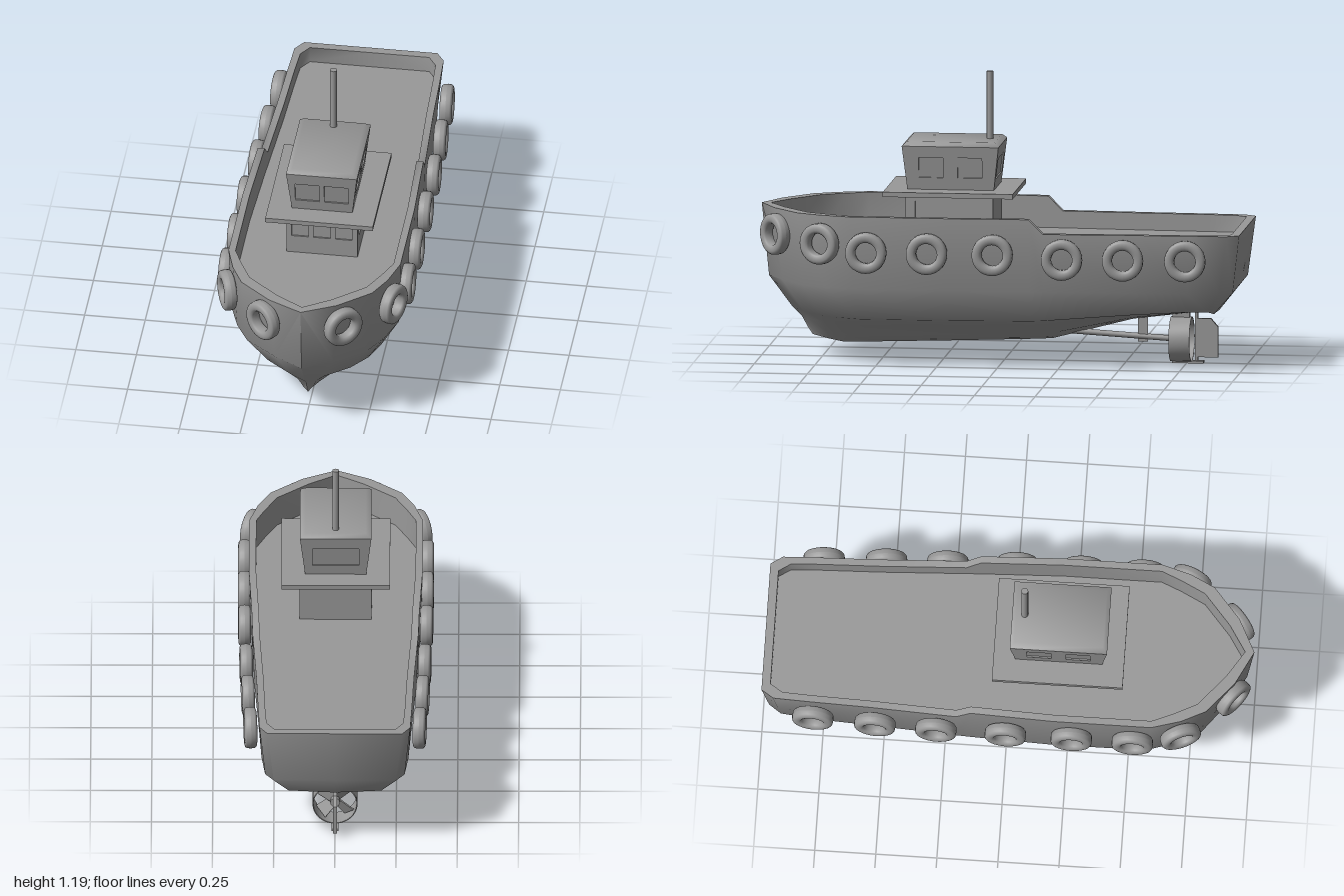
import * as THREE from 'three';
import { toCreasedNormals } from 'three/addons/utils/BufferGeometryUtils.js';

const grey = new THREE.MeshStandardMaterial({ color: 0x999999, side: THREE.DoubleSide });

function add(parent, name, geometry, x = 0, y = 0, z = 0) {
  const mesh = new THREE.Mesh(geometry, grey);
  mesh.name = name;
  mesh.position.set(x, y, z);
  parent.add(mesh);
  return mesh;
}

// Half-hull stations, bow to stern: rail x,z | knuckle x,z | chine x,y,z | keel y,z
const STATIONS = [
  [0, 1, 0, 0.97, 0, 0.2, 0.872, 0.09, 0.79],
  [0.14, 0.93, 0.12, 0.9, 0.07, 0.195, 0.82, 0.088, 0.785],
  [0.27, 0.82, 0.25, 0.8, 0.17, 0.195, 0.74, 0.072, 0.72],
  [0.32, 0.72, 0.305, 0.7, 0.23, 0.195, 0.66, 0.06, 0.66],
  [0.355, 0.6, 0.345, 0.58, 0.27, 0.195, 0.56, 0.063, 0.56],
  [0.355, 0.2, 0.347, 0.2, 0.277, 0.197, 0.2, 0.075, 0.2],
  [0.342, -0.14, 0.335, -0.14, 0.272, 0.2, -0.14, 0.088, -0.14],
  [0.339, -0.2, 0.332, -0.2, 0.27, 0.203, -0.2, 0.092, -0.2],
  [0.322, -0.55, 0.312, -0.55, 0.25, 0.23, -0.55, 0.178, -0.53],
  [0.314, -0.8, 0.3, -0.79, 0.23, 0.242, -0.77, 0.208, -0.77],
  [0.308, -0.95, 0.285, -0.92, 0.21, 0.242, -0.86, 0.218, -0.87],
  [0.275, -1, 0.25, -0.97, 0.19, 0.232, -0.885, 0.22, -0.88],
  [0, -1, 0, -0.97, 0, 0.222, -0.885, 0.22, -0.88]
];
const DECK = 0.5;

// Hull skin, rail cap, bulwark inside and deck as one loft, mirrored across x
function hullGeometry() {
  const rows = STATIONS.map(([rx, rz, kx, kz, cx, cy, cz, by, bz]) => {
    const bottom = (t, rise) => [cx * t, by + (cy - by) * rise, bz + (cz - bz) * t];
    const railY = rz > -0.17 ? 0.63 : 0.57;
    const ix = Math.max(0, rx - 0.029);
    const iz = rz + (rz > 0.65 ? -0.038 : rz < -0.9 ? 0.035 : 0);
    return [[0, by, bz], bottom(0.25, 0.27), bottom(0.55, 0.68), [cx, cy, cz], [kx, 0.33, kz],
      [rx, railY, rz], [ix, railY, iz], [ix, DECK, iz], [0, DECK, iz]];
  });
  const pos = [];
  for (const side of [1, -1]) {
    const tri = (...pts) => {
      for (const p of side > 0 ? pts : pts.reverse()) pos.push(p[0] * side, p[1], p[2]);
    };
    for (let i = 0; i < rows.length - 1; i++) {
      for (let j = 0; j < rows[i].length - 1; j++) {
        const a = rows[i][j], b = rows[i + 1][j], c = rows[i][j + 1], d = rows[i + 1][j + 1];
        tri(a, b, c);
        tri(b, d, c);
      }
    }
  }
  const g = new THREE.BufferGeometry();
  g.setAttribute('position', new THREE.Float32BufferAttribute(pos, 3));
  return toCreasedNormals(g, 1.05);
}

// Four walls with shallow recessed windows; windows are [x, y, width, height]
function cabin(name, y, z, height, bottom, top, windows) {
  const group = new THREE.Group();
  group.name = name;
  group.position.set(0, y, z);
  const depth = 0.006;
  ['front', 'left', 'back', 'right'].forEach((label, i) => {
    const across = i % 2, out = 1 - across;
    const lean = Math.atan2(top[out] - bottom[out], height);
    const slant = height / Math.cos(lean);
    const outline = () => new THREE.Shape([
      new THREE.Vector2(-bottom[across], 0), new THREE.Vector2(bottom[across], 0),
      new THREE.Vector2(top[across], slant), new THREE.Vector2(-top[across], slant)]);
    const wall = outline();
    for (const [wx, wy, w, h] of windows[label]) {
      wall.holes.push(new THREE.Path([
        new THREE.Vector2(wx - w / 2, wy), new THREE.Vector2(wx - w / 2, wy + h),
        new THREE.Vector2(wx + w / 2, wy + h), new THREE.Vector2(wx + w / 2, wy)]));
    }
    const wallGeo = new THREE.ExtrudeGeometry(wall, { depth, bevelEnabled: false });
    wallGeo.translate(0, 0, -depth);
    const paneGeo = new THREE.ShapeGeometry(outline());
    paneGeo.translate(0, 0, -depth);
    const face = new THREE.Group();
    face.rotation.y = i * Math.PI / 2;
    group.add(face);
    add(face, label + 'Wall', wallGeo, 0, 0, bottom[out]).rotation.x = lean;
    add(face, label + 'Panes', paneGeo, 0, 0, bottom[out]).rotation.x = lean;
  });
  return group;
}

// Box whose top face is scaled in x and z
function taperedBox(w, h, d, sx, sz) {
  const g = new THREE.BoxGeometry(w, h, d);
  const p = g.attributes.position;
  for (let i = 0; i < p.count; i++) {
    if (p.getY(i) > 0) p.setXYZ(i, p.getX(i) * sx, p.getY(i), p.getZ(i) * sz);
  }
  return toCreasedNormals(g, 1);
}

// Tyre with a flattened tread: a squarish section swept around z
function tyreGeometry() {
  const square = v => Math.sign(v) * Math.sqrt(Math.abs(v));
  const section = [];
  for (let i = 0; i <= 16; i++) {
    const a = i / 16 * Math.PI * 2;
    section.push(new THREE.Vector2(0.064 + 0.021 * Math.cos(a), 0.026 * square(Math.sin(a))));
  }
  return new THREE.LatheGeometry(section, 28).rotateX(Math.PI / 2);
}

export function createModel() {
  const boat = new THREE.Group();
  boat.name = 'tugboat';
  add(boat, 'hull', hullGeometry());

  // Tyre fenders: x, y, z, yaw of the outward direction in degrees
  const tyre = tyreGeometry();
  const fenders = [
    [0.165, 0.525, 0.925, 40], [0.343, 0.515, 0.72, 68], [0.374, 0.485, 0.525, 90],
    [0.374, 0.485, 0.275, 90], [0.372, 0.485, 0.005, 91], [0.365, 0.47, -0.28, 92],
    [0.357, 0.47, -0.53, 93], [0.346, 0.47, -0.785, 93]
  ];
  for (const side of [1, -1]) {
    for (const [x, y, z, yaw] of fenders) {
      add(boat, side > 0 ? 'leftTyre' : 'rightTyre', tyre, x * side, y, z)
        .rotation.y = side * THREE.MathUtils.degToRad(yaw);
    }
  }

  // Deckhouse, gallery plate, wheelhouse, roof and mast
  const three = [-0.09, 0, 0.09].map(x => [x, 0.08, 0.07, 0.09]);
  const pair = [-0.085, 0.085].map(x => [x, 0.08, 0.11, 0.09]);
  boat.add(cabin('deckhouse', DECK, 0.21, 0.2, [0.147, 0.18], [0.147, 0.18],
    { front: three, back: [], left: pair, right: pair }));
  add(boat, 'galleryPlate', new THREE.BoxGeometry(0.444, 0.02, 0.535), 0, 0.705, 0.207);
  const sides = [-0.08, 0.08].map(x => [x, 0.05, 0.1, 0.085]);
  boat.add(cabin('wheelhouse', 0.715, 0.207, 0.18, [0.125, 0.178], [0.146, 0.199],
    { front: [-0.06, 0.06].map(x => [x, 0.045, 0.1, 0.085]), back: [[0, 0.045, 0.19, 0.085]],
      left: sides, right: sides }));
  add(boat, 'roof', taperedBox(0.292, 0.017, 0.398, 0.84, 0.91), 0, 0.9035, 0.207);
  add(boat, 'mast', new THREE.CylinderGeometry(0.014, 0.014, 0.29, 16), 0, 1.045, 0.06);

  // Propeller shaft and its bracket
  const shaft = add(boat, 'propellerShaft', new THREE.CylinderGeometry(0.012, 0.012, 0.51, 12), 0, 0.112, -0.48);
  shaft.rotation.x = Math.PI / 2 - 0.06;
  add(boat, 'shaftBracket', new THREE.BoxGeometry(0.014, 0.12, 0.04), 0, 0.145, -0.57);

  // Nozzle ring around a four-bladed propeller
  const ring = new THREE.LatheGeometry([[0.088, -0.043], [0.092, -0.043], [0.092, 0.043], [0.088, 0.043], [0.088, -0.043]]
    .map(p => new THREE.Vector2(...p)), 32);
  ring.rotateX(Math.PI / 2);
  add(boat, 'nozzle', toCreasedNormals(ring, 0.6), 0, 0.098, -0.728);
  const propeller = new THREE.Group();
  propeller.name = 'propeller';
  propeller.position.set(0, 0.098, -0.728);
  boat.add(propeller);
  add(propeller, 'hub', new THREE.CylinderGeometry(0.016, 0.02, 0.06, 16)).rotation.x = Math.PI / 2;
  for (let i = 0; i < 4; i++) {
    const arm = new THREE.Group();
    arm.rotation.z = Math.PI / 4 + i * Math.PI / 2;
    propeller.add(arm);
    add(arm, 'blade', taperedBox(0.042, 0.072, 0.006, 1.5, 1), 0, 0.046, 0).rotation.y = 0.6;
  }

  // Rudder with a clipped corner, its stock and the heel bar below
  const blade = new THREE.Shape([[-0.79, 0.025], [-0.88, 0.025], [-0.88, 0.15], [-0.85, 0.185], [-0.79, 0.185]]
    .map(p => new THREE.Vector2(...p)));
  const rudder = new THREE.ExtrudeGeometry(blade, { depth: 0.016, bevelEnabled: false });
  rudder.translate(0, 0, -0.008);
  rudder.rotateY(-Math.PI / 2);
  add(boat, 'rudder', rudder);
  add(boat, 'rudderStock', new THREE.CylinderGeometry(0.007, 0.007, 0.22, 12), 0, 0.115, -0.79);
  add(boat, 'heelBar', new THREE.BoxGeometry(0.03, 0.01, 0.13), 0, 0.005, -0.755);
  add(boat, 'nozzleMount', new THREE.BoxGeometry(0.02, 0.04, 0.07), 0, 0.2, -0.728);
  return boat;
}
